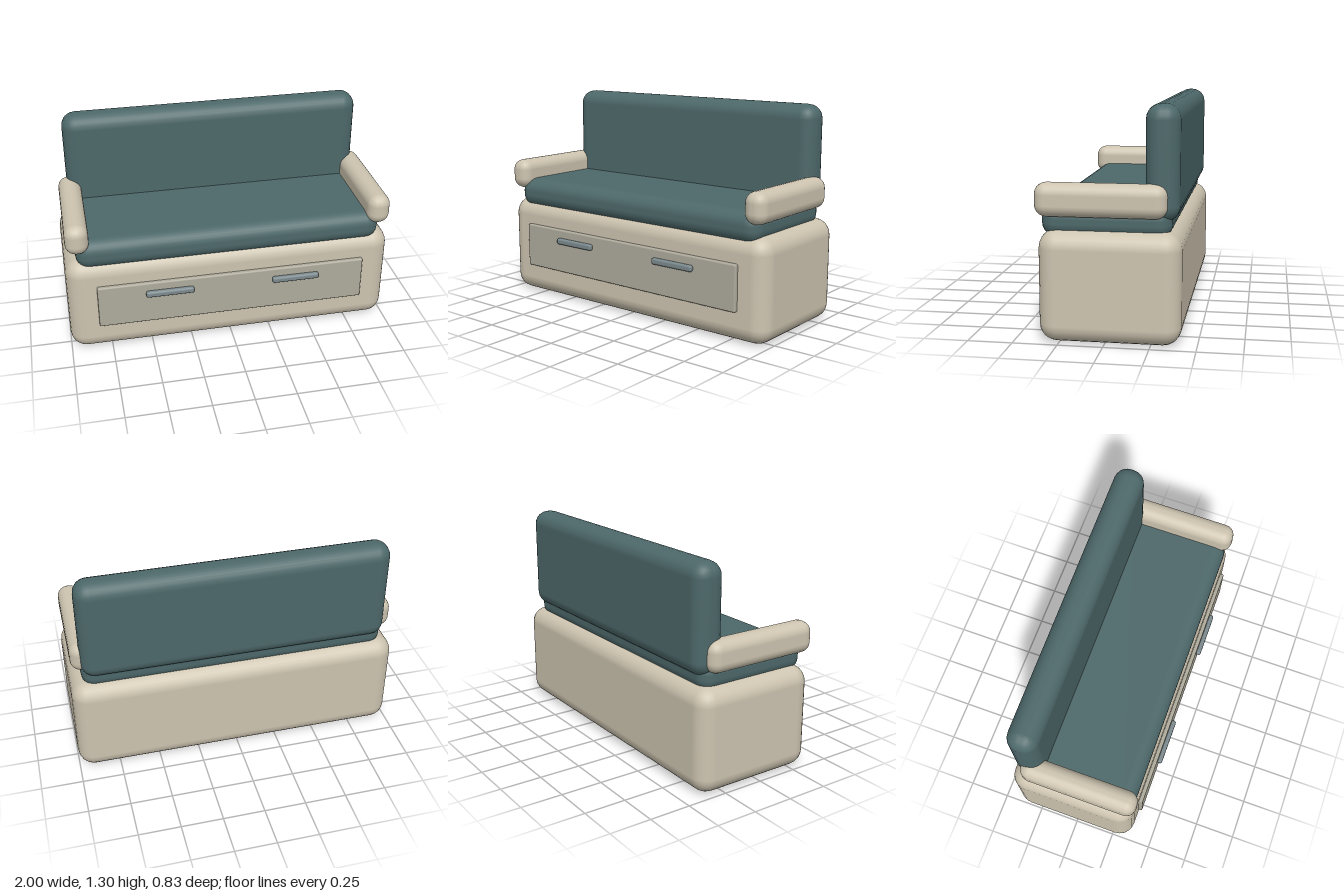
import * as THREE from 'three';
import { RoundedBoxGeometry } from 'three/addons/geometries/RoundedBoxGeometry.js';

const shell = new THREE.MeshStandardMaterial({ color: 0xcdc4b0 });
const fabric = new THREE.MeshStandardMaterial({ color: 0x4d686a });
const panel = new THREE.MeshStandardMaterial({ color: 0xaeab9c });
const metal = new THREE.MeshStandardMaterial({ color: 0x7b898d });

// Rounded block given by its [min, max] extent on each axis
function block(name, material, [x0, x1], [y0, y1], [z0, z1], radius, segments = 3) {
  const geometry = new RoundedBoxGeometry(x1 - x0, y1 - y0, z1 - z0, segments, radius);
  const mesh = new THREE.Mesh(geometry, material);
  mesh.name = name;
  mesh.position.set((x0 + x1) / 2, (y0 + y1) / 2, (z0 + z1) / 2);
  return mesh;
}

export function createModel() {
  const sofa = new THREE.Group();
  sofa.name = 'storageSofa';

  // Body and upholstery
  sofa.add(
    block('base', shell, [-1, 1], [0, 0.62], [-0.415, 0.365], 0.1),
    block('seatCushion', fabric, [-0.93, 0.93], [0.57, 0.755], [-0.357, 0.357], 0.08),
    block('backrest', fabric, [-0.93, 0.93], [0.665, 1.297], [-0.397, -0.21], 0.085),
    // Drawer front
    block('drawerFront', panel, [-0.823, 0.823], [0.188, 0.464], [0.345, 0.389], 0.01, 2)
  );

  // Mirrored armrests and drawer handles
  for (const [side, s] of [['left', 1], ['right', -1]]) {
    const arm = block(side + 'Armrest', shell, [0.845, 0.985], [0.69, 0.876], [-0.338, 0.382], 0.064);
    const handle = block(side + 'Handle', metal, [0.243, 0.535], [0.375, 0.414], [0.383, 0.416], 0.013, 2);
    arm.position.x *= s;
    handle.position.x *= s;
    sofa.add(arm, handle);
  }
  return sofa;
}
